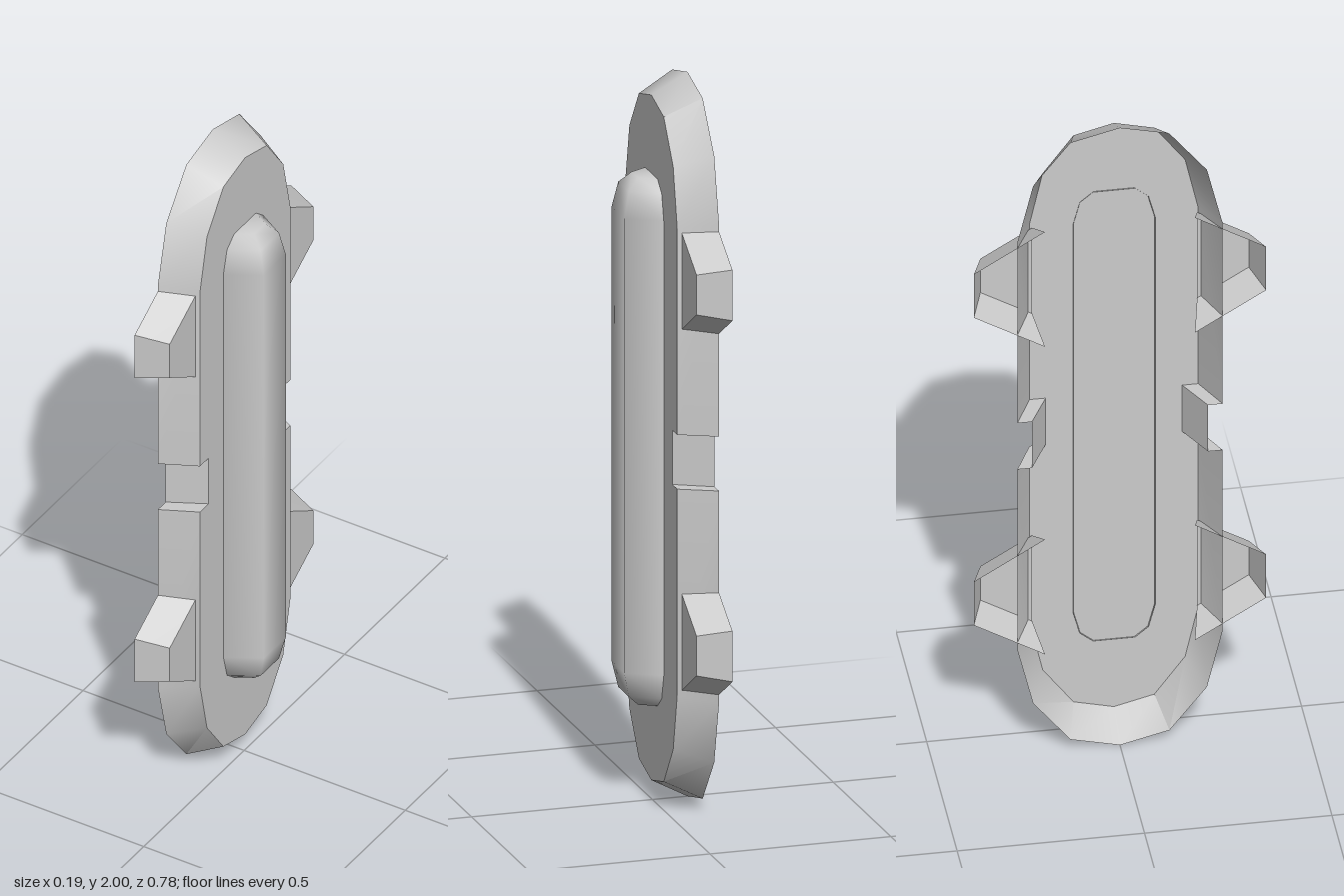
import * as THREE from 'three';
import { mergeGeometries, toCreasedNormals } from 'three/addons/utils/BufferGeometryUtils.js';

const BACK = -0.097, PLATE_FRONT = 0.003, LUG_FRONT = -0.008;
const material = new THREE.MeshStandardMaterial({ color: 0xcccccc, side: THREE.DoubleSide });

// Sloped wall joining two matching [z, y] loops at different x
function wall(outer, inner, xOuter, xInner, closed) {
  const pos = [], n = outer.length;
  for (let i = 0; i < (closed ? n : n - 1); i++) {
    const j = (i + 1) % n;
    const P = (l, k, x) => [x, l[k][1], l[k][0]];
    const a0 = P(outer, i, xOuter), a1 = P(outer, j, xOuter);
    const b0 = P(inner, i, xInner), b1 = P(inner, j, xInner);
    pos.push(...a0, ...a1, ...b0, ...b0, ...a1, ...b1);
  }
  const g = new THREE.BufferGeometry();
  g.setAttribute('position', new THREE.Float32BufferAttribute(pos, 3));
  return g;
}

// Flat face with the outline of a [z, y] loop, facing +x
function face(loop, x) {
  const shape = new THREE.Shape(loop.map(([z, y]) => new THREE.Vector2(-z, y)));
  const g = new THREE.ShapeGeometry(shape).rotateY(Math.PI / 2).translate(x, 0, 0).toNonIndexed();
  g.deleteAttribute('uv');
  g.deleteAttribute('normal');
  return g;
}

// Tray open at the back: sloped wall plus front face
function tray(outer, inner, xFront, closed) {
  const g = mergeGeometries([wall(outer, inner, BACK, xFront, closed), face(inner, xFront)]);
  return toCreasedNormals(g, 0.6);
}

const mirrorZ = (loop) => loop.map(([z, y]) => [-z, y]).reverse();

// Full outline from one quarter, mirrored down and across
function fullLoop(quarter, apex) {
  const side = [...quarter, ...quarter.map(([z, y]) => [z, 2 - y]).reverse()];
  return [[0, apex], ...side, [0, 2 - apex], ...mirrorZ(side)];
}

export function createModel() {
  const group = new THREE.Group();
  const add = (name, geometry) => {
    const mesh = new THREE.Mesh(geometry, material);
    mesh.name = name;
    group.add(mesh);
    return mesh;
  };

  // Bevelled base plate with a notch in the middle of each long side
  const outer = fullLoop([[0.132, 1.967], [0.232, 1.838], [0.274, 1.66], [0.274, 1.075], [0.235, 1.075]], 2);
  const inner = fullLoop([[0.108, 1.918], [0.19, 1.805], [0.225, 1.645], [0.225, 1.075], [0.182, 1.075]], 1.946);
  add('basePlate', tray(outer, inner, PLATE_FRONT, true));

  // Long raised ridge: half of a six-sided capsule
  const half = [[0.11, 1.63], [0.092, 1.7], [0.056, 1.73], [0, 1.73]];
  const profile = [...half.map(([r, y]) => [r, 2.005 - y]).reverse(), ...half]
    .map(([r, y]) => new THREE.Vector2(r, y));
  add('ridge', new THREE.LatheGeometry(profile, 3, 0, Math.PI));

  // Four tapered lugs along the sides
  const lugOuter = [[0.2, 0.186], [0.39, 0.07], [0.39, -0.07], [0.2, -0.186]];
  const lugInner = [[0.22, 0.139], [0.358, 0.055], [0.358, -0.055], [0.22, -0.139]];
  for (const [sideName, m] of [['front', (l) => l], ['back', mirrorZ]]) {
    for (const [level, y] of [['Upper', 1.5], ['Lower', 0.503]]) {
      add(sideName + level + 'Lug', tray(m(lugOuter), m(lugInner), LUG_FRONT, false)).position.y = y;
    }
  }
  return group;
}
